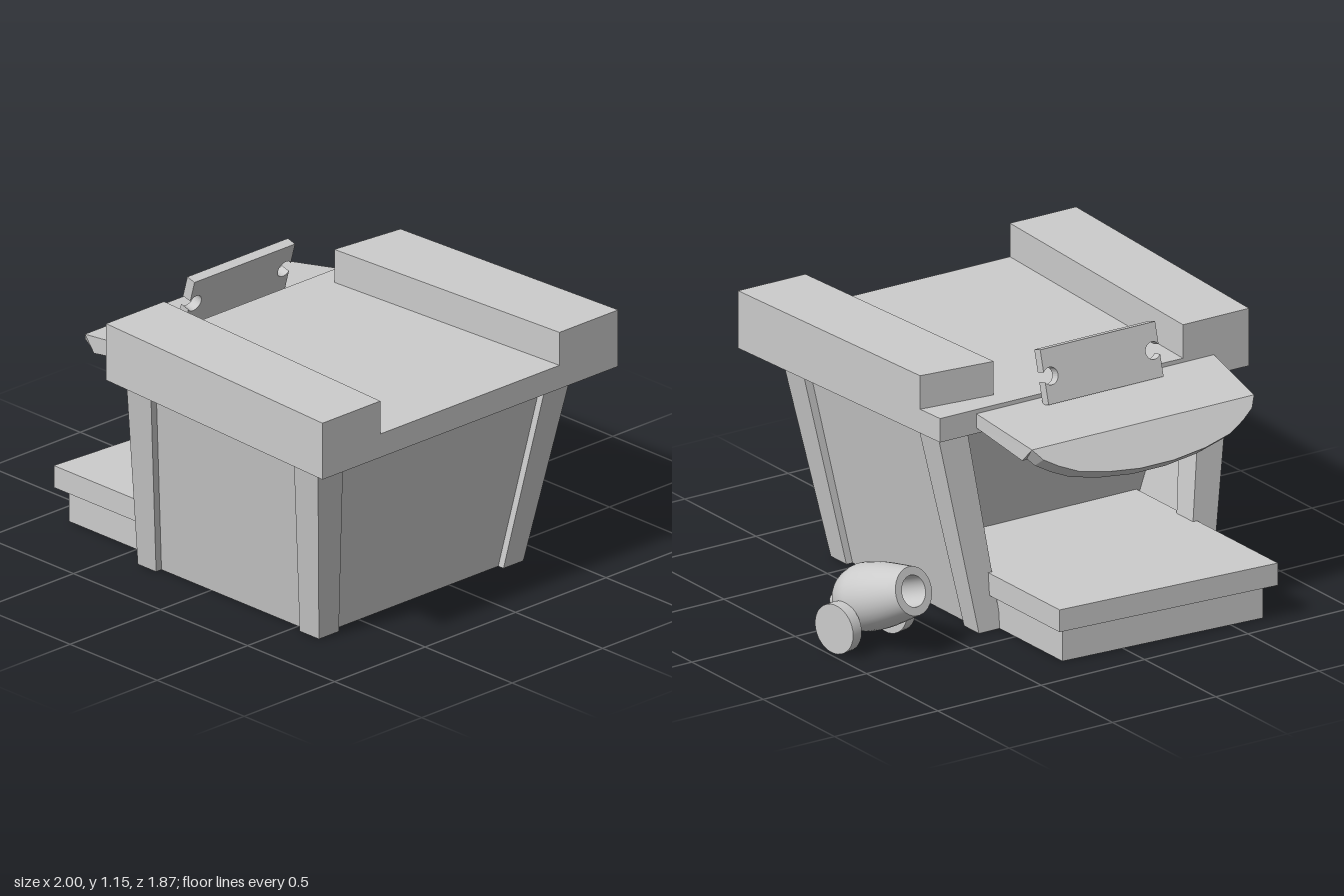
import * as THREE from 'three';

const grey = new THREE.MeshStandardMaterial({ color: 0xcccccc });
const flat = new THREE.MeshStandardMaterial({ color: 0xcccccc, flatShading: true, side: THREE.DoubleSide });

function mesh(name, geometry, material = flat) {
  const m = new THREE.Mesh(geometry, material);
  m.name = name;
  return m;
}

// Solid between two four-cornered outlines: front-left, front-right, back-right, back-left
function block(name, bottom, top, openBelow = false) {
  const pos = [];
  const quad = (a, b, c, d) => pos.push(...a, ...b, ...c, ...a, ...c, ...d);
  for (let i = 0; i < 4; i++) {
    const j = (i + 1) % 4;
    quad(bottom[i], bottom[j], top[j], top[i]);
  }
  quad(...top);
  if (!openBelow) quad(bottom[3], bottom[2], bottom[1], bottom[0]);
  const g = new THREE.BufferGeometry();
  g.setAttribute('position', new THREE.Float32BufferAttribute(pos, 3));
  g.computeVertexNormals();
  return mesh(name, g);
}

// Level outline from a list of [x, z] corners
const level = (y, corners) => corners.map(([x, z]) => [x, y, z]);
const rect = (y, x0, x1, z0, z1) => level(y, [[x0, z1], [x1, z1], [x1, z0], [x0, z0]]);
const slab = (name, y0, y1, corners, open) => block(name, level(y0, corners), level(y1, corners), open);

function makeBuilding() {
  const g = new THREE.Group();
  g.name = 'building';
  const H = 0.857;

  // Tapered body with a recessed back, flanked by side walls
  g.add(block('body', rect(0, -0.72, 0.35, 0.11, 0.62), rect(H, -0.86, 0.49, -0.08, 0.76)));
  g.add(block('sideWall', rect(0, 0.3, 0.35, -0.36, 0.2), rect(H, 0.44, 0.49, -0.28, 0.2)));
  g.add(block('sideWall', rect(0, -0.72, -0.67, -0.36, 0.2), rect(H, -0.86, -0.81, -0.28, 0.2)));
  g.add(block('floor', rect(0, -0.72, 0.35, -0.36, 0.2), rect(0.02, -0.72, 0.35, -0.36, 0.2)));

  // Leaning corner posts: bottom and top spans along x and z
  const xs = [[-0.75, -0.64, -0.89, -0.75], [0.27, 0.38, 0.385, 0.525]];
  const zs = [[0.54, 0.65, 0.65, 0.79], [-0.39, -0.285, -0.31, -0.17]];
  for (const x of xs) for (const z of zs) {
    g.add(block('cornerPost', rect(0, x[0], x[1], z[0], z[1]), rect(H, x[2], x[3], z[2], z[3])));
  }

  // Roof slab and the two raised sides
  g.add(slab('roof', 0.855, 0.957, [[-1, 0.93], [0.635, 0.93], [0.565, -0.385], [-0.93, -0.385]]));
  g.add(slab('parapet', 0.957, 1.1, [[-1, 0.93], [-0.68, 0.93], [-0.61, -0.385], [-0.93, -0.385]]));
  g.add(slab('parapet', 0.957, 1.1, [[0.31, 0.93], [0.635, 0.93], [0.572, -0.255], [0.24, -0.29]]));

  // Back step: slab over a narrower base
  g.add(slab('stepSlab', 0.145, 0.24, [[-0.69, 0.08], [0.32, 0.08], [0.32, -0.868], [-0.69, -0.935]]));
  g.add(slab('stepBase', 0, 0.145, [[-0.65, -0.3], [0.28, -0.3], [0.28, -0.83], [-0.65, -0.89]], true));
  return g;
}

function makeAwning() {
  const g = new THREE.Group();
  g.name = 'awning';
  g.add(block('awningDeck',
    [[-0.76, 0.88, -0.38], [0.39, 0.88, -0.38], [0.362, 0.822, -0.667], [-0.726, 0.822, -0.667]],
    [[-0.76, 0.94, -0.38], [0.39, 0.94, -0.38], [0.355, 0.885, -0.725], [-0.72, 0.885, -0.725]]));

  // Drooping flap with a curved lower edge
  const s = new THREE.Shape([
    [-0.72, 0], [0.355, 0], [0.32, 0.05], [0.26, 0.09], [0.18, 0.13], [0.05, 0.16], [-0.1, 0.178],
    [-0.26, 0.178], [-0.42, 0.16], [-0.55, 0.13], [-0.63, 0.09], [-0.69, 0.05],
  ].map(p => new THREE.Vector2(...p)));
  const geo = new THREE.ExtrudeGeometry(s, { depth: 0.075, bevelEnabled: false });
  geo.translate(0, 0, -0.075);
  const down = new THREE.Vector3(0, -0.145, -0.105).normalize();
  const side = new THREE.Vector3(1, 0, 0);
  geo.applyMatrix4(new THREE.Matrix4().makeBasis(side, down, side.clone().cross(down)));
  geo.translate(0, 0.885, -0.725);
  g.add(mesh('awningFlap', geo));
  return g;
}

// Leaning plate with a round notch in each end
function makePlate() {
  const w = 0.278, h = 0.225, mid = 0.112, r = 0.036, inset = 0.03;
  const a = Math.acos(inset / r);
  const s = new THREE.Shape();
  s.moveTo(-w, 0);
  s.lineTo(w, 0);
  s.absarc(w - inset, mid, r, -a, a, true);
  s.lineTo(w, h);
  s.lineTo(-w, h);
  s.absarc(-w + inset, mid, r, Math.PI - a, Math.PI + a, true);
  s.lineTo(-w, 0);
  const geo = new THREE.ExtrudeGeometry(s, { depth: 0.043, bevelEnabled: false, curveSegments: 12 });
  const plate = mesh('notchedPlate', geo);
  plate.rotation.x = 0.27;
  plate.position.set(-0.182, 0.938, -0.467);
  return plate;
}

function makeCannon() {
  const g = new THREE.Group();
  g.name = 'cannon';
  const rear = new THREE.Vector3(0.83, 0.135, -0.055);
  const muzzle = new THREE.Vector3(0.745, 0.283, -0.458);

  // Barrel: rounded breech, tapering wall, hollow bore
  const breech = new THREE.SplineCurve([
    [0, 0.022], [0.055, 0.035], [0.105, 0.075], [0.135, 0.14], [0.139, 0.2], [0.13, 0.29], [0.1, 0.44],
  ].map(p => new THREE.Vector2(...p))).getPoints(24);
  breech[0].x = 0;
  const outer = mesh('barrel', new THREE.LatheGeometry(breech, 32), grey);
  const ring = (name, pts) => mesh(name,
    new THREE.LatheGeometry(pts.map(p => new THREE.Vector2(...p)), 32), grey);
  const barrel = new THREE.Group();
  barrel.name = 'barrelAssembly';
  barrel.add(outer, ring('muzzleRim', [[0.1, 0.44], [0.065, 0.44]]),
    ring('bore', [[0.065, 0.44], [0.065, 0.27]]), ring('boreEnd', [[0.065, 0.27], [0, 0.27]]));
  barrel.add(mesh('breechKnob', new THREE.SphereGeometry(0.035, 20, 14), grey));
  barrel.position.copy(rear);
  barrel.quaternion.setFromUnitVectors(new THREE.Vector3(0, 1, 0), muzzle.clone().sub(rear).normalize());
  g.add(barrel);

  // Wheels, turned with the barrel
  for (const [x, z] of [[0.65, -0.172], [0.957, -0.24]]) {
    const geo = new THREE.CylinderGeometry(0.104, 0.104, 0.05, 32);
    geo.rotateZ(Math.PI / 2);
    const wheel = mesh('wheel', geo, grey);
    wheel.rotation.y = 0.215;
    wheel.position.set(x, 0.105, z);
    g.add(wheel);
  }
  return g;
}

export function createModel() {
  const model = new THREE.Group();
  model.name = 'fortHut';
  model.add(makeBuilding(), makeAwning(), makePlate(), makeCannon());
  return model;
}
